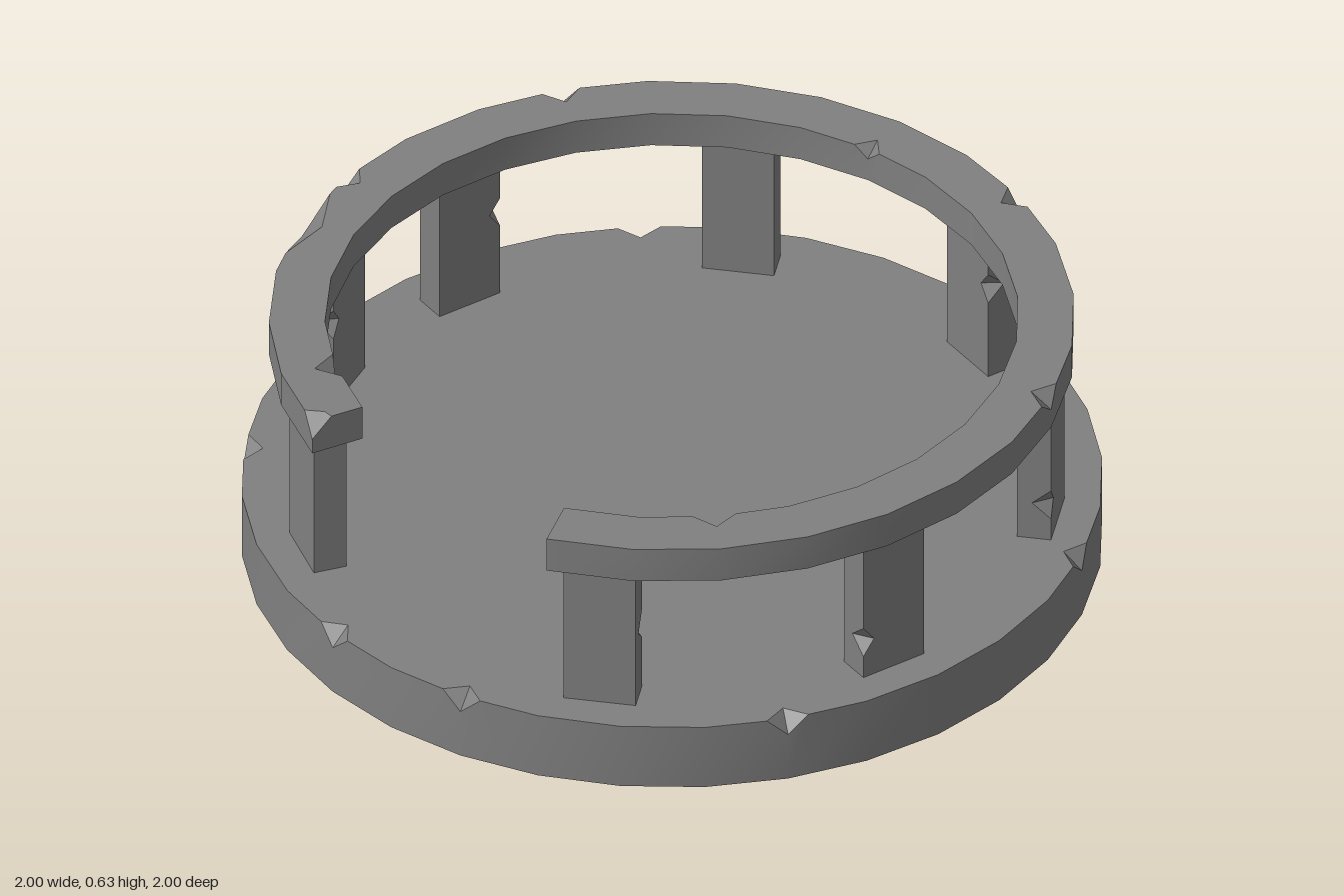
import * as THREE from 'three';
import { toCreasedNormals } from 'three/addons/utils/BufferGeometryUtils.js';

const RAD = Math.PI / 180;
// Plan point at an angle measured from the front (+z) towards +x
const polar = (r, deg) => new THREE.Vector2(r * Math.sin(deg * RAD), -r * Math.cos(deg * RAD));

// Prism along +z over a counter-clockwise outline. chips maps an outline index
// to [half width, inward depth, drop] of a notch broken out of the top edge.
function chippedPrism(outline, height, chips = {}) {
  const n = outline.length;
  const pos = [];
  const at = (p, z) => [p.x, p.y, z];
  const tri = (a, b, c) => pos.push(...a, ...b, ...c);
  const toward = (a, b, d) => a.clone().add(b.clone().sub(a).setLength(d));

  const notch = outline.map((v, i) => {
    if (!chips[i]) return null;
    const [w, d, drop] = chips[i];
    const prev = outline[(i + n - 1) % n], next = outline[(i + 1) % n];
    const t = next.clone().sub(prev).normalize();
    return {
      p1: at(toward(v, prev, w), height),
      p2: at(toward(v, next, w), height),
      inner: [v.x - t.y * d, v.y + t.x * d, height],
      low: at(v, height - drop),
    };
  });

  // Caps
  const top = outline.flatMap((v, i) => notch[i] ? [notch[i].p1, notch[i].inner, notch[i].p2] : [at(v, height)]);
  const top2 = top.map((p) => new THREE.Vector2(p[0], p[1]));
  for (const [a, b, c] of THREE.ShapeUtils.triangulateShape(top2, [])) tri(top[a], top[b], top[c]);
  for (const [a, b, c] of THREE.ShapeUtils.triangulateShape(outline.slice(), []))
    tri(at(outline[c], 0), at(outline[b], 0), at(outline[a], 0));

  // Sides and notch faces
  for (let i = 0; i < n; i++) {
    const j = (i + 1) % n, A = notch[i], B = notch[j];
    const face = [at(outline[i], 0), at(outline[j], 0)];
    face.push(...(B ? [B.low, B.p1] : [at(outline[j], height)]));
    face.push(...(A ? [A.p2, A.low] : [at(outline[i], height)]));
    for (let k = 1; k < face.length - 1; k++) tri(face[0], face[k], face[k + 1]);
    if (A) {
      tri(A.p1, A.low, A.inner);
      tri(A.low, A.p2, A.inner);
    }
  }
  const g = new THREE.BufferGeometry();
  g.setAttribute('position', new THREE.Float32BufferAttribute(pos, 3));
  return g;
}

export function createModel() {
  const group = new THREE.Group();
  const stone = new THREE.MeshStandardMaterial({ color: 0x808080 });
  stone.name = 'grey stone';
  const add = (name, geometry) => {
    const mesh = new THREE.Mesh(toCreasedNormals(geometry, 25 * RAD), stone);
    mesh.name = name;
    group.add(mesh);
    return mesh;
  };

  // Round floor slab, chipped around its top rim
  const SIDES = 32;
  const floorOutline = Array.from({ length: SIDES }, (_, i) => polar(1, i * 360 / SIDES));
  const floorChips = {};
  for (const i of [1, 5, 10, 14, 20, 27, 31]) floorChips[i] = [0.05, 0.045, 0.045];
  add('floorSlab', chippedPrism(floorOutline, 0.17, floorChips).rotateX(-Math.PI / 2));

  // Broken ring beam, open at the front
  const STEPS = 25;
  const angle = (k) => 22.5 + 315 * k / STEPS;
  const ringOutline = [];
  for (let k = 0; k <= STEPS; k++) ringOutline.push(polar(0.935, angle(k)));
  for (let k = STEPS; k >= 0; k--) ringOutline.push(polar(0.805, angle(k)));
  const inner = (k) => 2 * STEPS + 1 - k;
  const ringChips = {
    7: [0.05, 0.05, 0.04], 11: [0.045, 0.05, 0.04], 17: [0.045, 0.05, 0.04],
    20: [0.045, 0.04, 0.03], 21: [0.13, 0.05, 0.04], 25: [0.05, 0.05, 0.05],
    [inner(2)]: [0.05, 0.04, 0.04], [inner(13)]: [0.035, 0.04, 0.03], [inner(24)]: [0.045, 0.05, 0.04],
  };
  add('ringBeam', chippedPrism(ringOutline, 0.09, ringChips).rotateX(-Math.PI / 2)).position.y = 0.54;

  // Posts: angle, chip height, chip side (0 = none), chipped face turned inward
  const posts = [
    [30, 0.18, -1, true], [75, 0.10, -1, false], [120, 0.10, -1, false], [165, 0.25, 1, true],
    [210, 0.2, 0, false], [255, 0.23, 1, true], [285, 0.23, -1, true], [330, 0.2, 0, false],
  ];
  const W = 0.085, H = 0.37, D = 0.08;
  for (const [deg, y, side, inward] of posts) {
    const outline = [[-W, 0], [W, 0], [W, y], [W, H], [-W, H], [-W, y]].map(([a, b]) => new THREE.Vector2(a, b));
    const chips = side ? { [side > 0 ? 2 : 5]: [0.04, 0.03, 0.045] } : {};
    const post = add('post', chippedPrism(outline, D, chips).translate(0, 0, -D / 2));
    post.position.set(0.87 * Math.sin(deg * RAD), 0.17, 0.87 * Math.cos(deg * RAD));
    post.rotation.y = deg * RAD + (inward ? Math.PI : 0);
  }
  return group;
}
